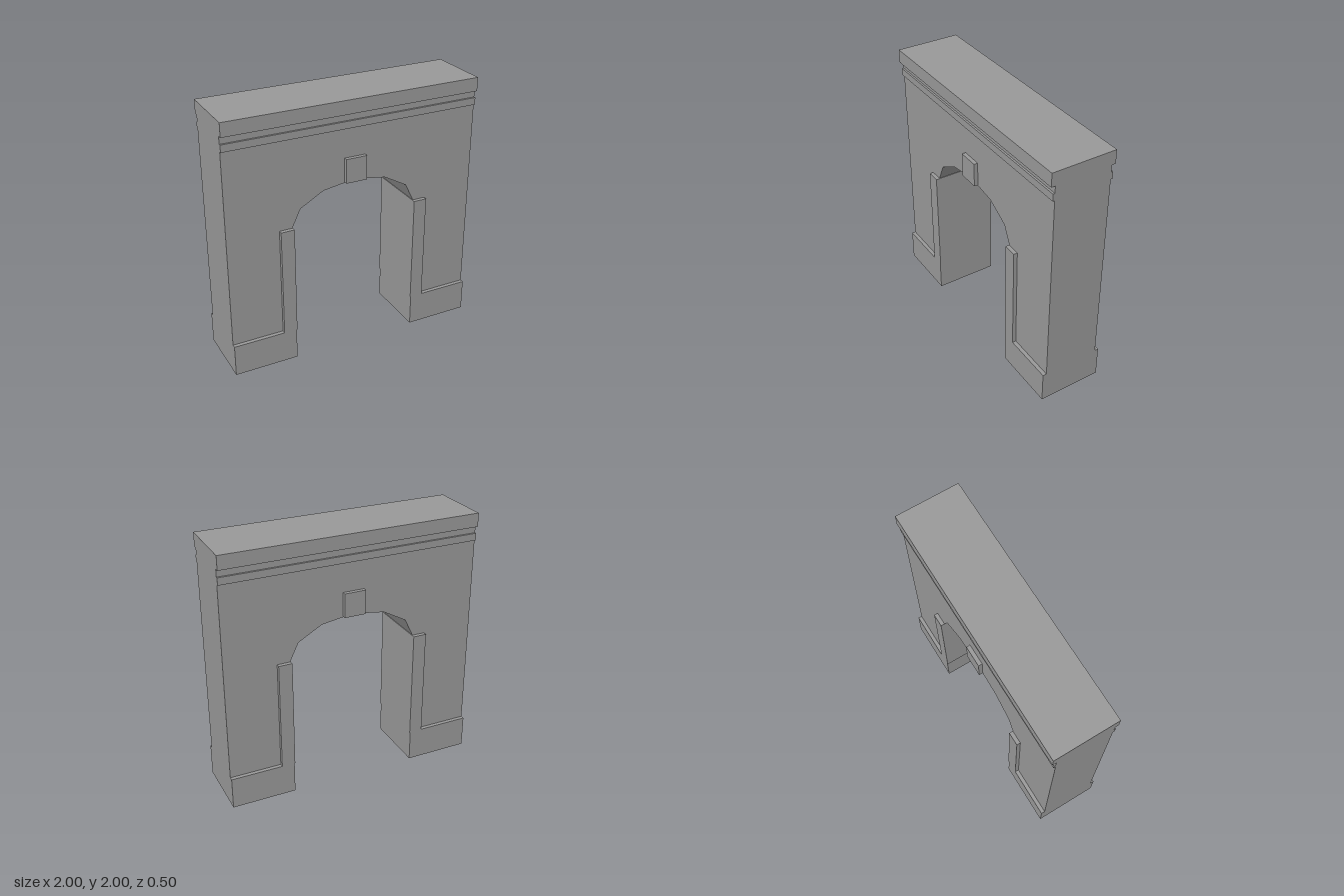
import * as THREE from 'three';

export function createModel() {
  const model = new THREE.Group();
  model.name = 'archway';
  const stone = new THREE.MeshStandardMaterial({ color: 0x999999, side: THREE.DoubleSide, flatShading: true });
  stone.name = 'grey stone';

  const add = (name, geometry) => {
    const mesh = new THREE.Mesh(geometry, stone);
    mesh.name = name;
    model.add(mesh);
    return mesh;
  };
  // Box given by its limits on each axis
  const block = (name, x0, x1, y0, y1, z0, z1) =>
    add(name, new THREE.BoxGeometry(x1 - x0, y1 - y0, z1 - z0))
      .position.set((x0 + x1) / 2, (y0 + y1) / 2, (z0 + z1) / 2);

  const wallZ = 0.22, outerZ = 0.25, plinthTop = 0.25, spring = 1.1;

  // Wall with a faceted elliptical arch opening
  const outline = [[-0.5, plinthTop], [-1, plinthTop], [-1, 2], [1, 2], [1, plinthTop], [0.5, plinthTop]];
  for (let i = 0; i <= 6; i++) {
    const a = (i * Math.PI) / 6;
    outline.push([0.5 * Math.cos(a), spring + 0.28 * Math.sin(a)]);
  }
  const shape = new THREE.Shape(outline.map(([x, y]) => new THREE.Vector2(x, y)));
  const wall = new THREE.ExtrudeGeometry(shape, { depth: 2 * wallZ, bevelEnabled: false });
  add('wall', wall.translate(0, 0, -wallZ));

  for (const [label, s] of [['left', 1], ['right', -1]]) {
    // Hollow plinth, open underneath
    const plinth = new THREE.BoxGeometry(0.5, plinthTop, 2 * outerZ);
    const index = Array.from(plinth.index.array);
    index.splice(18, 6); // remove the bottom face
    plinth.setIndex(index);
    plinth.clearGroups();
    add(label + 'Plinth', plinth).position.set(0.75 * s, plinthTop / 2, 0);

    // Jamb lining the opening
    const edges = [0.495 * s, 0.6 * s].sort((a, b) => a - b);
    block(label + 'Jamb', edges[0], edges[1], plinthTop, spring, -outerZ, outerZ);
  }

  block('keystone', -0.083, 0.083, 1.373, 1.56, -outerZ, outerZ);

  // Cornice and moulding on both faces
  for (const [label, s] of [['front', 1], ['back', -1]]) {
    const strip = (name, y0, y1, z) =>
      block(label + name, -1, 1, y0, y1, Math.min(s * wallZ, s * z), Math.max(s * wallZ, s * z));
    strip('Cornice', 1.895, 2, outerZ);
    strip('Moulding', 1.785, 1.84, 0.235);
  }
  return model;
}
